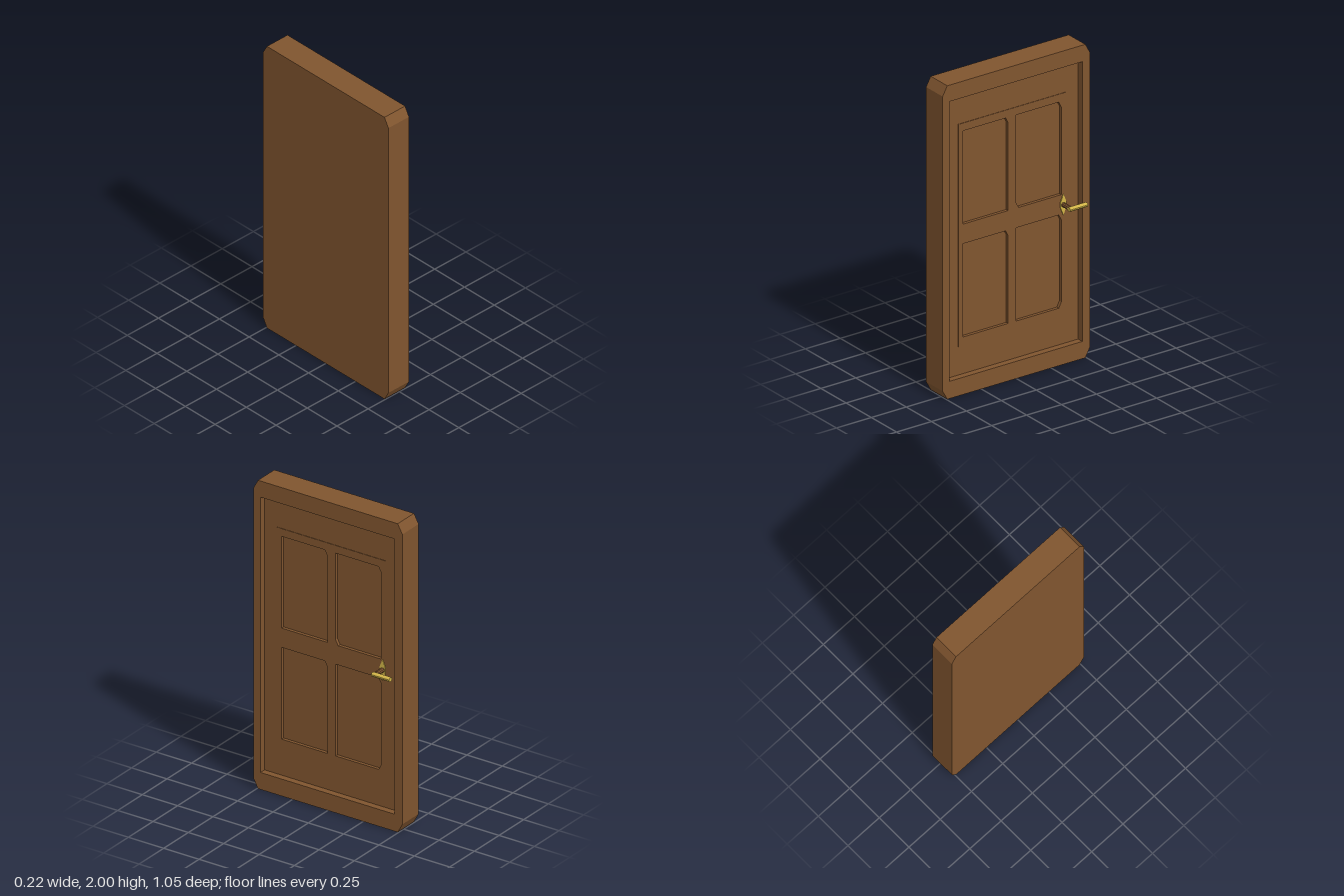
import * as THREE from 'three';

const wood = new THREE.MeshStandardMaterial({ color: 0x80552f, flatShading: true });
const brass = new THREE.MeshStandardMaterial({ color: 0xd2b548, flatShading: true });

// Rectangle with cut corners; cut order: bottom left, bottom right, top right, top left
function outline(Type, u0, u1, y0, y1, cu = 0, cy = 0, cut = [1, 1, 1, 1]) {
  const pts = [];
  const corner = (u, y, su, sy, on, uFirst) => {
    if (!on || !cu) return pts.push(new THREE.Vector2(u, y));
    const a = new THREE.Vector2(u + su * cu, y), b = new THREE.Vector2(u, y + sy * cy);
    pts.push(...(uFirst ? [a, b] : [b, a]));
  };
  corner(u0, y0, 1, 1, cut[0], false);
  corner(u1, y0, -1, 1, cut[1], true);
  corner(u1, y1, -1, -1, cut[2], false);
  corner(u0, y1, 1, -1, cut[3], true);
  return new Type(pts);
}

// Extrude a shape drawn on the door face (u = -z) from depth x0 to x1
function layer(name, shape, x0, x1, material = wood) {
  const geo = new THREE.ExtrudeGeometry(shape, { depth: x1 - x0, bevelEnabled: false });
  geo.rotateY(Math.PI / 2);
  geo.translate(x0, 0, 0);
  const mesh = new THREE.Mesh(geo, material);
  mesh.name = name;
  return mesh;
}

// The four sunken panels
const panelHoles = () => [
  [-0.355, -0.03, 1.065, 1.66, [0, 0, 1, 0]],
  [0.027, 0.35, 1.065, 1.66, [1, 0, 1, 0]],
  [-0.355, -0.03, 0.345, 0.94, [0, 0, 1, 0]],
  [0.027, 0.35, 0.345, 0.94, [0, 1, 1, 0]],
].map(([a, b, c, d, cut]) => outline(THREE.Path, a, b, c, d, 0.018, 0.035, cut));

export function createModel() {
  const door = new THREE.Group();
  door.name = 'door';
  const BACK = -0.113, PANEL = -0.007, LEAF = 0.01, PLATE = 0.013, FRONT = 0.052;
  const slab = () => outline(THREE.Shape, -0.527, 0.527, 0, 2, 0.033, 0.06);

  // Solid back and surrounding frame
  door.add(layer('backSlab', slab(), BACK, PANEL));
  const frame = slab();
  frame.holes.push(outline(THREE.Path, -0.477, 0.472, 0.11, 1.895));
  door.add(layer('frame', frame, PANEL, FRONT));

  // Leaf and its slightly raised centre, pierced by the panels
  const leaf = outline(THREE.Shape, -0.477, 0.472, 0.11, 1.895);
  leaf.holes.push(...panelHoles());
  door.add(layer('leaf', leaf, PANEL, LEAF));
  const plate = outline(THREE.Shape, -0.387, 0.387, 0.29, 1.71);
  plate.holes.push(...panelHoles());
  door.add(layer('raisedCentre', plate, LEAF, PLATE));

  // Handle: pointed backplate, spindle and lever
  const handle = new THREE.Group();
  handle.name = 'handle';
  const diamond = new THREE.Shape([
    [0, 0.932], [0.02, 0.982], [0.02, 1.018], [0, 1.068], [-0.02, 1.018], [-0.02, 0.982],
  ].map(([u, y]) => new THREE.Vector2(u + 0.362, y)));
  handle.add(layer('backplate', diamond, PANEL, 0.018, brass));

  const spindle = new THREE.Mesh(new THREE.CylinderGeometry(0.015, 0.015, 0.085, 10), wood);
  spindle.name = 'spindle';
  spindle.rotation.z = Math.PI / 2;
  spindle.position.set(0.0425, 1, -0.362);
  const lever = new THREE.Mesh(new THREE.CylinderGeometry(0.0175, 0.0175, 0.127, 10), brass);
  lever.name = 'lever';
  lever.rotation.x = Math.PI / 2;
  lever.scale.z = 0.75;
  lever.position.set(0.0935, 1, -0.409);
  handle.add(spindle, lever);
  door.add(handle);
  return door;
}
